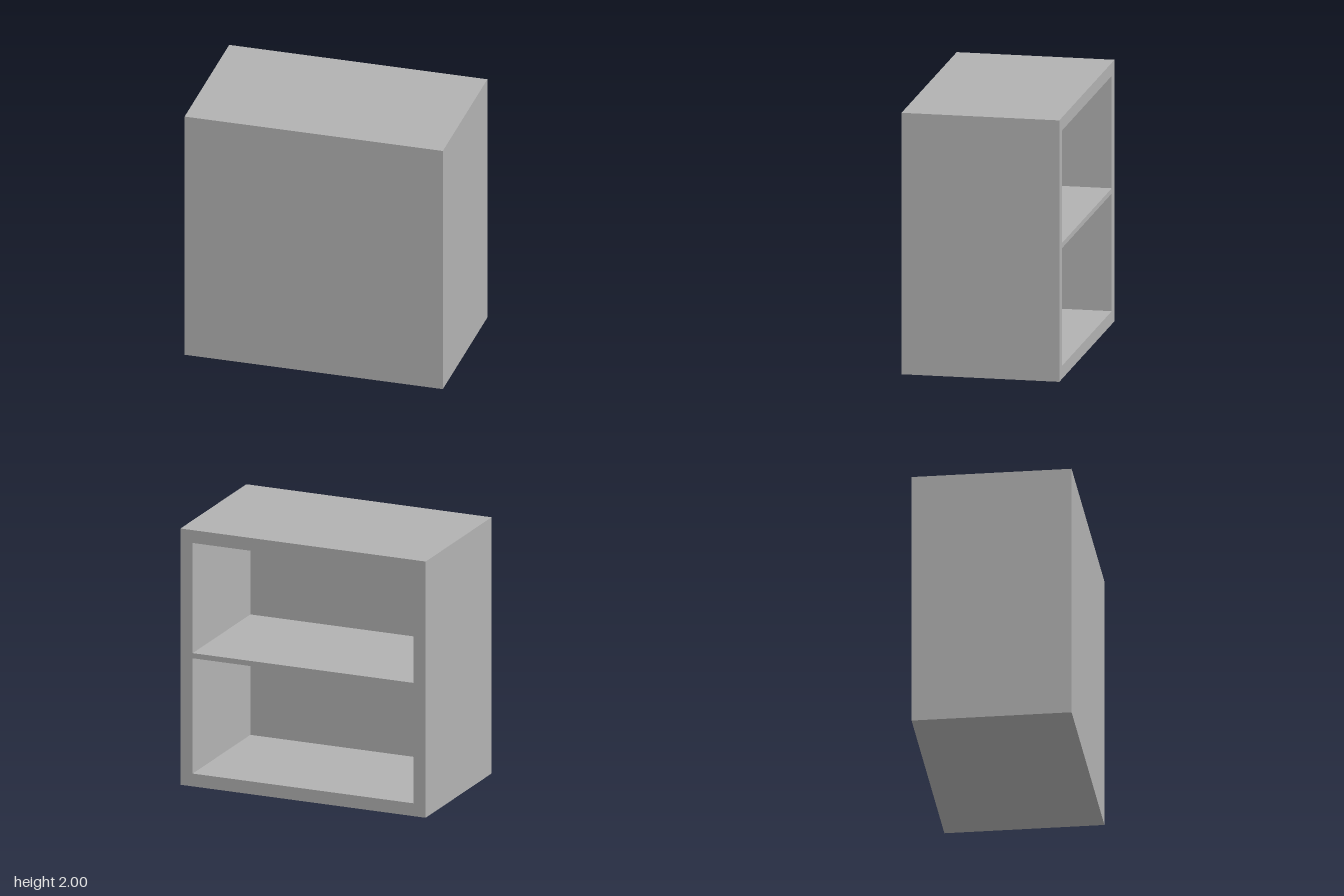
import * as THREE from 'three';

const W = 2, H = 2, D = 1.2;   // overall size
const WALL = 0.1;              // side, top and bottom boards
const FRONT = 0.15;            // thick closed front panel
const SHELF = [1.0, 1.04];     // underside and top of the shelf

function rect(path, x0, y0, x1, y1) {
  path.moveTo(x0, y0);
  path.lineTo(x1, y0);
  path.lineTo(x1, y1);
  path.lineTo(x0, y1);
  path.closePath();
  return path;
}

export function createModel() {
  const group = new THREE.Group();
  group.name = 'cabinet';
  const grey = new THREE.MeshStandardMaterial({ color: 0xb2b2b2 });
  grey.name = 'plain grey';

  // Carcass with its shelf: a slab pierced by two compartments, open at the back
  const outline = rect(new THREE.Shape(), -W / 2, 0, W / 2, H);
  const inner = W / 2 - WALL;
  for (const [y0, y1] of [[WALL, SHELF[0]], [SHELF[1], H - WALL]]) {
    outline.holes.push(rect(new THREE.Path(), -inner, y0, inner, y1));
  }
  const carcass = new THREE.Mesh(
    new THREE.ExtrudeGeometry(outline, { depth: D - FRONT, bevelEnabled: false }), grey);
  carcass.name = 'carcassWithShelf';
  carcass.position.z = -D / 2;
  group.add(carcass);

  // Closed front panel
  const panel = new THREE.Mesh(new THREE.BoxGeometry(W, H, FRONT), grey);
  panel.name = 'frontPanel';
  panel.position.set(0, H / 2, D / 2 - FRONT / 2);
  group.add(panel);

  return group;
}
